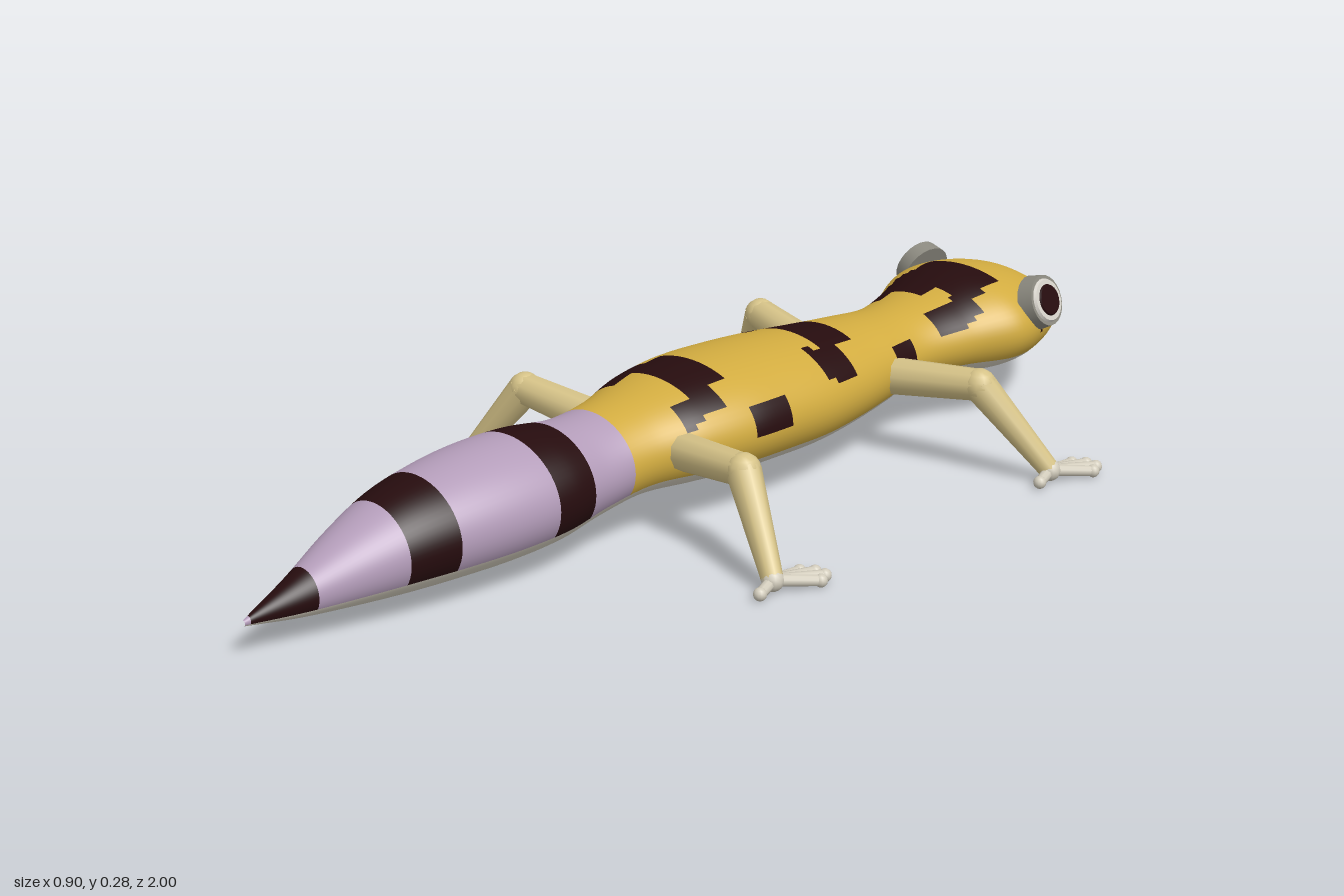
import * as THREE from 'three';

const mat = (name, color, side = THREE.FrontSide) => {
  const m = new THREE.MeshStandardMaterial({ color, side });
  m.name = name;
  return m;
};

// half width, top and bottom of the body every 0.1 from nose (z = -1) to tail tip (z = 1)
const SECTIONS = [
  [0.002, 0.16, 0.155], [0.085, 0.215, 0.115], [0.145, 0.265, 0.09], [0.172, 0.278, 0.085],
  [0.13, 0.255, 0.092], [0.105, 0.24, 0.095], [0.12, 0.245, 0.075], [0.14, 0.252, 0.062],
  [0.157, 0.26, 0.055], [0.163, 0.265, 0.055], [0.165, 0.265, 0.058], [0.148, 0.255, 0.063],
  [0.115, 0.235, 0.065], [0.11, 0.225, 0.05], [0.128, 0.235, 0.035], [0.13, 0.235, 0.03],
  [0.12, 0.225, 0.03], [0.1, 0.205, 0.032], [0.07, 0.165, 0.037], [0.035, 0.115, 0.045],
  [0.004, 0.07, 0.06],
];

// dark patches: z range, x range, y range
const SPOTS = [
  [-0.72, -0.62, -0.09, 0.09, 0.2, 1],
  [-0.66, -0.58, -0.11, 0.01, 0.2, 1],
  [-0.6, -0.54, -0.11, -0.06, 0.2, 1],
  [-0.64, -0.54, 0.06, 0.115, 0.2, 1],
  [-0.33, -0.24, -0.07, 0.07, 0.2, 1],
  [-0.28, -0.19, -0.138, -0.07, 0.2, 1],
  [-0.28, -0.2, 0.07, 0.138, 0.2, 1],
  [0.01, 0.1, -0.08, 0.085, 0.19, 1],
  [0.05, 0.15, -0.125, -0.06, 0.19, 1],
  [0.05, 0.14, 0.08, 0.125, 0.19, 1],
  ...[[-1, 0], [0, 1]].flatMap(([a, b]) => [
    [-0.08, 0.01, a, b, 0.165, 0.21],
    [-0.47, -0.41, a, b, 0.15, 0.21],
    [-0.88, -0.76, a, b, 0.175, 0.195],
    [-0.87, -0.81, a, b, 0.185, 0.215],
  ]),
  [-0.96, -0.93, 0.03, 0.06, 0.16, 1],
  [-0.96, -0.93, -0.06, -0.03, 0.16, 1],
];
const TAIL_BANDS = [[0.35, 0.44], [0.64, 0.73], [0.88, 0.99]];
const within = (v, a, b) => v >= a && v <= b;

// index into [yellow, belly, dark, lavender]
function skinColour(x, y, z, drop) {
  if (drop < -0.5) return 1;
  if (z > 0.25) return TAIL_BANDS.some(([a, b]) => within(z, a, b)) ? 2 : 3;
  const spotted = SPOTS.some(s => within(z, s[0], s[1]) && within(x, s[2], s[3]) && within(y, s[4], s[5]));
  return spotted ? 2 : 0;
}

// lofted body, head and tail, grouped by skin colour
function bodyGeometry() {
  const N = 60, M = 200;
  const curve = new THREE.CatmullRomCurve3(
    SECTIONS.map(s => new THREE.Vector3(...s)), false, 'catmullrom', 0.5);
  const pos = [], lists = [[], [], [], []];
  const point = (i, k) => {
    const s = curve.getPoint(i / M), a = (k / N) * Math.PI * 2;
    const c = Math.cos(a);
    return [s.x * Math.sin(a), (s.y + s.z) / 2 + (s.y - s.z) / 2 * c, -1 + 2 * i / M, c];
  };
  for (let i = 0; i <= M; i++)
    for (let k = 0; k < N; k++) pos.push(...point(i, k).slice(0, 3));
  for (let i = 0; i < M; i++)
    for (let k = 0; k < N; k++) {
      const k2 = (k + 1) % N;
      const a = i * N + k, b = i * N + k2, c = a + N, d = b + N;
      lists[skinColour(...point(i + 0.5, k + 0.5))].push(a, c, b, b, c, d);
    }
  const g = new THREE.BufferGeometry();
  g.setAttribute('position', new THREE.Float32BufferAttribute(pos, 3));
  g.setIndex(lists.flat());
  let start = 0;
  lists.forEach((l, i) => { g.addGroup(start, l.length, i); start += l.length; });
  g.computeVertexNormals();
  return g;
}

// tapered round bar between two points
function bar(name, p, q, r0, r1, material) {
  const a = new THREE.Vector3(...p), b = new THREE.Vector3(...q);
  const dir = b.clone().sub(a);
  const m = new THREE.Mesh(new THREE.CylinderGeometry(r1, r0, dir.length(), 10), material);
  m.name = name;
  m.position.copy(a).add(b).multiplyScalar(0.5);
  m.quaternion.setFromUnitVectors(new THREE.Vector3(0, 1, 0), dir.normalize());
  return m;
}

function ball(name, p, r, material) {
  const m = new THREE.Mesh(new THREE.SphereGeometry(r, 12, 8), material);
  m.name = name;
  m.position.set(...p);
  return m;
}

export function createModel() {
  const yellow = mat('yellow skin', 0xd2ac40);
  const belly = mat('pale belly', 0xd6d0c0);
  const dark = mat('dark markings', 0x260c0e);
  const lavender = mat('lavender tail', 0xb49dba);
  const tan = mat('tan legs', 0xd6c388);
  const toeMat = mat('pale toes', 0xd2ccbc);
  const grey = mat('grey eyelid', 0x8c8a80);
  const white = mat('eye white', 0xd8d4cc);

  const model = new THREE.Group();
  model.name = 'lizard';
  const body = new THREE.Mesh(bodyGeometry(), [yellow, belly, dark, lavender]);
  body.name = 'body';
  model.add(body);

  // one leg: shoulder, joint and ankle, with a fan of toes
  function leg(name, side, shoulder, joint, ankle) {
    const g = new THREE.Group();
    g.name = name;
    const s = ([x, y, z]) => [x * side, y, z];
    const [ax, ay, az] = ankle;
    g.add(
      bar('upperLeg', s(shoulder), s(joint), 0.036, 0.03, tan),
      ball('joint', s(joint), 0.031, tan),
      bar('lowerLeg', s(joint), s(ankle), 0.031, 0.019, tan),
      ball('foot', s(ankle), 0.02, toeMat));
    const toes = [[-0.01, -0.075], [0.01, -0.092], [0.032, -0.093], [0.043, -0.072], [0.012, 0.042]];
    for (const [dx, dz] of toes) {
      const tip = [ax + dx, 0.013, az + dz];
      g.add(bar('toe', s([ax, ay, az]), s(tip), 0.011, 0.01, toeMat), ball('toeTip', s(tip), 0.012, toeMat));
    }
    model.add(g);
  }

  // layered round eye, facing out and slightly up
  function eye(name, side) {
    const g = new THREE.Group();
    g.name = name;
    const disc = (part, r, h, y, z, material) => {
      const m = new THREE.Mesh(new THREE.CylinderGeometry(r * 0.92, r, h, 24), material);
      m.name = part;
      m.position.set(0, y, z);
      g.add(m);
    };
    disc('eyelid', 0.053, 0.03, 0, 0, grey);
    disc('eyeWhite', 0.043, 0.006, 0.017, 0, white);
    disc('pupil', 0.031, 0.005, 0.021, 0, dark);
    g.position.set(side * 0.153, 0.23, -0.765);
    g.quaternion.setFromUnitVectors(
      new THREE.Vector3(0, 1, 0), new THREE.Vector3(side * 0.92, 0.36, -0.12).normalize());
    model.add(g);
  }

  for (const [label, side] of [['left', 1], ['right', -1]]) {
    leg(label + 'FrontLeg', side, [0.08, 0.155, -0.4], [0.28, 0.175, -0.445], [0.395, 0.022, -0.515]);
    leg(label + 'BackLeg', side, [0.08, 0.155, 0.14], [0.28, 0.175, 0.16], [0.395, 0.022, 0.205]);
    eye(label + 'Eye', side);
  }
  return model;
}
